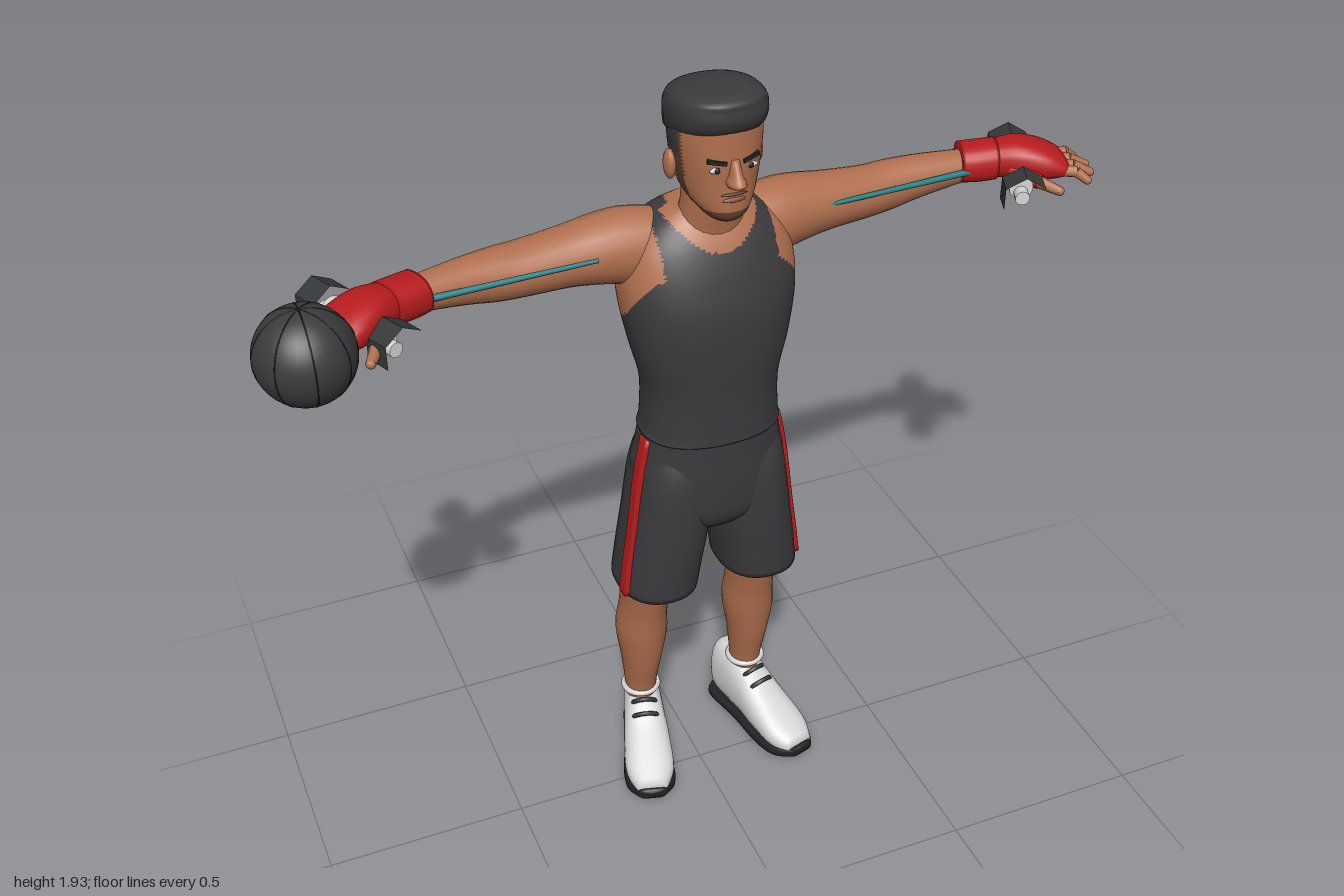
import * as THREE from 'three';

const mat = (name, color) => Object.assign(new THREE.MeshStandardMaterial({ color }), { name });
const CX = 0.035; // body centre line

// value of a smooth curve through key rows, at segment i and fraction f
function sample(keys, i, f) {
  const at = j => keys[Math.max(0, Math.min(keys.length - 1, j))];
  const [a, b, c, d] = [at(i - 1), at(i), at(i + 1), at(i + 2)];
  return b.map((_, k) => b[k] + 0.5 * f * (c[k] - a[k] + f * (2 * a[k] - 5 * b[k] + 4 * c[k] - d[k]
    + f * (3 * (b[k] - c[k]) + d[k] - a[k]))));
}

// Skin through elliptical sections. Each key: [position on axis, centre u, centre v, radius u, radius v]
// (u, v) is (z, x) for axis y, (y, z) for axis x, (x, y) for axis z. paint(x, y, z) picks a material.
function loft(axis, keys, { e = 2, seg = 24, steps = 4, paint = () => 0 } = {}) {
  if (keys[0][0] > keys[keys.length - 1][0]) keys = [...keys].reverse();
  const rows = [];
  for (let i = 0; i < keys.length - 1; i++) {
    for (let s = 0; s < steps; s++) rows.push(sample(keys, i, s / steps));
  }
  rows.push(keys[keys.length - 1]);
  const pos = [];
  const put = (t, u, v) => pos.push(...(axis === 'x' ? [t, u, v] : axis === 'y' ? [v, t, u] : [u, v, t]));
  const pw = c => Math.sign(c) * Math.abs(c) ** (2 / e);
  for (const [t, cu, cv, ru, rv] of rows) {
    for (let j = 0; j < seg; j++) {
      const a = j / seg * Math.PI * 2;
      put(t, cu + ru * pw(Math.cos(a)), cv + rv * pw(Math.sin(a)));
    }
  }
  const n = rows.length, first = n * seg, last = first + 1;
  put(...rows[0]);
  put(...rows[n - 1]);
  const groups = [[], [], []];
  const tri = (...ids) => {
    const c = [0, 1, 2].map(k => ids.reduce((sum, id) => sum + pos[id * 3 + k], 0) / 3);
    groups[paint(...c)].push(...ids);
  };
  for (let j = 0; j < seg; j++) {
    const k = (j + 1) % seg;
    for (let i = 0; i < n - 1; i++) {
      const a = i * seg + j, b = i * seg + k;
      tri(a, b, b + seg);
      tri(a, b + seg, a + seg);
    }
    tri(first, k, j);
    tri(last, (n - 1) * seg + j, (n - 1) * seg + k);
  }
  const geo = new THREE.BufferGeometry();
  geo.setAttribute('position', new THREE.Float32BufferAttribute(pos, 3));
  geo.setIndex(groups.flat());
  let start = 0;
  groups.forEach((g, i) => { if (g.length) geo.addGroup(start, g.length, i); start += g.length; });
  geo.computeVertexNormals();
  return geo;
}

export function createModel() {
  const root = new THREE.Group();
  const skin = mat('skin', 0xb06f4e), cloth = mat('charcoal', 0x3b3b3d), red = mat('red', 0xb81c1e);
  const white = mat('shoe white', 0xd6d6d6), dark = mat('sole black', 0x222224), teal = mat('band teal', 0x237f82);
  const stubble = mat('stubble brown', 0x60402f), iron = mat('iron', 0x35383a), lip = mat('lip', 0x8f5040);

  const add = (name, geo, m, parent = root, p = [0, 0, 0]) => {
    const mesh = new THREE.Mesh(geo, Array.isArray(m) || !geo.groups.length || geo.type !== 'BufferGeometry' ? m : [m]);
    mesh.name = name;
    mesh.position.set(...p);
    parent.add(mesh);
    return mesh;
  };
  const group = (name, p, yaw = 0) => {
    const g = new THREE.Group();
    g.name = name;
    g.position.set(...p);
    g.rotation.y = yaw;
    root.add(g);
    return g;
  };
  const rod = (a, b, r1, r2 = r1) => {
    const va = new THREE.Vector3(...a), d = new THREE.Vector3(...b).sub(va);
    const geo = new THREE.CylinderGeometry(r2, r1, d.length(), 12);
    geo.applyQuaternion(new THREE.Quaternion().setFromUnitVectors(new THREE.Vector3(0, 1, 0), d.clone().normalize()));
    return geo.translate(...va.addScaledVector(d, 0.5).toArray());
  };

  // torso: tank top with scooped neck and armholes
  add('torso', loft('y', [
    [1.07, -0.035, CX, 0.13, 0.17], [1.1, -0.033, CX, 0.128, 0.164], [1.2, -0.032, CX, 0.13, 0.162],
    [1.3, -0.035, CX, 0.138, 0.185], [1.4, -0.046, CX, 0.147, 0.203], [1.48, -0.057, CX, 0.14, 0.205],
    [1.55, -0.065, CX, 0.122, 0.185], [1.6, -0.065, CX, 0.095, 0.14], [1.635, -0.055, CX, 0.06, 0.085],
  ], {
    e: 2.3, seg: 96, steps: 8, paint: (x, y, z) => {
      const dx = Math.abs(x - CX);
      const neck = y > (z > -0.06 ? 1.55 : 1.59) + 6 * dx * dx;
      const armhole = dx > 0.135 && y > 1.375 + 8 * (z + 0.08) ** 2;
      return neck || armhole ? 1 : 0;
    },
  }), [cloth, skin]);
  add('neck', loft('y', [[1.54, -0.045, CX, 0.075, 0.1], [1.6, -0.03, CX, 0.07, 0.08],
    [1.65, -0.015, CX, 0.066, 0.071], [1.72, -0.01, CX, 0.07, 0.07]]), skin);

  // head with cropped hair, faded sides and a stubbled jaw
  add('head', loft('y', [
    [1.645, 0.05, CX, 0.04, 0.032], [1.66, 0.045, CX, 0.058, 0.05], [1.69, 0.014, CX, 0.092, 0.073],
    [1.73, -0.002, CX, 0.108, 0.087], [1.78, -0.004, CX, 0.112, 0.095], [1.83, -0.004, CX, 0.111, 0.099],
    [1.87, -0.006, CX, 0.11, 0.096], [1.9, -0.005, CX, 0.09, 0.08],
  ], {
    e: 2.15, seg: 64, steps: 6, paint: (x, y, z) => {
      if (y > 1.865 || (y > 1.785 && z < 0.025)) return 1;
      if (z < -0.04 && y > 1.705) return 2;
      if (Math.abs(z - 0.015) < 0.02 && y > 1.69) return 2;
      return z > -0.01 && y < 1.675 + Math.max(0, 0.07 - z) * 0.5 ? 2 : 0;
    },
  }), [skin, cloth, stubble]);
  add('hairTop', loft('y', [
    [1.825, -0.035, CX, 0.082, 0.098], [1.85, -0.01, CX, 0.112, 0.104], [1.88, 0.0, CX, 0.119, 0.106],
    [1.905, 0.01, CX, 0.108, 0.1], [1.922, 0.03, CX, 0.085, 0.082], [1.932, 0.04, CX, 0.045, 0.05],
  ], { e: 2.3, seg: 32 }), cloth);
  add('nose', loft('y', [[1.733, 0.108, CX, 0.012, 0.014], [1.745, 0.112, CX, 0.034, 0.021],
    [1.765, 0.106, CX, 0.026, 0.014], [1.795, 0.098, CX, 0.014, 0.011]]), skin);
  add('mouth', new THREE.SphereGeometry(1, 16, 8).scale(0.027, 0.006, 0.006), lip, root, [CX, 1.702, 0.104]);
  add('moustache', new THREE.SphereGeometry(1, 16, 8).scale(0.03, 0.004, 0.005), stubble, root, [CX, 1.715, 0.104]);
  for (const s of [1, -1]) {
    const x = CX + s * 0.038;
    add('ear', new THREE.SphereGeometry(1, 16, 12).scale(0.013, 0.034, 0.022), skin, root, [CX + s * 0.1, 1.752, -0.01]);
    add('eyeWhite', new THREE.SphereGeometry(1, 12, 8).scale(0.017, 0.007, 0.005), white, root, [x, 1.774, 0.099]);
    add('pupil', new THREE.SphereGeometry(1, 12, 8).scale(0.007, 0.007, 0.004), dark, root, [x, 1.774, 0.102]);
    const brow = add('brow', new THREE.BoxGeometry(0.042, 0.009, 0.009), dark, root, [x, 1.792, 0.1]);
    brow.rotation.set(0, s * 0.3, s * 0.16);
  }

  // shorts
  add('shortsHips', loft('y', [[0.8, -0.045, CX, 0.09, 0.1], [0.85, -0.047, CX, 0.125, 0.17],
    [0.95, -0.045, CX, 0.132, 0.187], [1.02, -0.04, CX, 0.128, 0.174], [1.09, -0.035, CX, 0.124, 0.163]],
  { e: 2.3, seg: 40 }), cloth);

  for (const s of [1, -1]) {
    const X = d => CX + s * d;
    add('shortsLeg', loft('y', [[0.615, -0.06, X(0.133), 0.125, 0.1], [0.7, -0.055, X(0.122), 0.128, 0.1],
      [0.8, -0.05, X(0.108), 0.13, 0.099], [0.95, -0.045, X(0.095), 0.125, 0.09], [1.03, -0.04, X(0.085), 0.1, 0.08]],
    { e: 2.3, seg: 32 }), cloth);
    add('sideStripe', loft('y', [[0.618, -0.017, X(0.226), 0.02, 0.01], [0.7, -0.017, X(0.216), 0.02, 0.01],
      [0.8, -0.017, X(0.202), 0.02, 0.01], [0.95, -0.017, X(0.183), 0.02, 0.01], [1.06, -0.017, X(0.162), 0.02, 0.01]],
    { e: 6 }), red);

    // bare lower leg
    add('leg', loft('y', [[0.13, -0.13, X(0.15), 0.045, 0.038], [0.2, -0.132, X(0.15), 0.047, 0.04],
      [0.3, -0.124, X(0.15), 0.066, 0.05], [0.4, -0.12, X(0.149), 0.081, 0.064], [0.48, -0.108, X(0.147), 0.082, 0.058],
      [0.56, -0.095, X(0.145), 0.09, 0.058], [0.66, -0.08, X(0.14), 0.1, 0.07]]), skin);

    // trainer with its toe turned out
    const shoe = group('shoe', [X(0.147), 0, -0.125], s * 0.27);
    add('shoeUpper', loft('z', [[-0.108, 0, 0.1, 0.02, 0.06], [-0.09, 0, 0.107, 0.04, 0.088], [-0.02, 0, 0.108, 0.05, 0.092],
      [0.04, 0, 0.096, 0.055, 0.08], [0.1, 0, 0.074, 0.061, 0.06], [0.18, 0, 0.052, 0.062, 0.039], [0.235, 0, 0.04, 0.038, 0.022]],
    { e: 2.4 }), white, shoe);
    add('shoeSole', loft('z', [[-0.112, 0, 0.018, 0.025, 0.012], [-0.09, 0, 0.013, 0.046, 0.013], [0.02, 0, 0.013, 0.052, 0.013],
      [0.13, 0, 0.014, 0.066, 0.014], [0.2, 0, 0.019, 0.062, 0.016], [0.246, 0, 0.03, 0.032, 0.014]], { e: 4 }), dark, shoe);
    for (const [y, z, r] of [[0.17, 0.045, 0.03], [0.147, 0.075, 0.032]]) {
      const lace = add('lace', new THREE.TorusGeometry(r, 0.006, 6, 16, Math.PI), iron, shoe, [0, y - 0.012, z - 0.01]);
      lace.rotation.x = 0.6;
    }
  }
  // shoe collars
  for (const s of [1, -1]) {
    const collar = add('shoeCollar', new THREE.TorusGeometry(0.044, 0.008, 8, 24), white, root, [CX + s * 0.15, 0.195, -0.13]);
    collar.rotation.x = Math.PI / 2;
  }

  // arms swept slightly back (left) and forward (right)
  add('leftArm', loft('x', [[0.1, 1.535, -0.07, 0.075, 0.07], [0.2, 1.535, -0.085, 0.088, 0.083], [0.27, 1.54, -0.094, 0.08, 0.078],
    [0.35, 1.54, -0.1, 0.068, 0.07], [0.45, 1.537, -0.108, 0.061, 0.062], [0.52, 1.54, -0.113, 0.059, 0.056],
    [0.6, 1.548, -0.112, 0.05, 0.05], [0.74, 1.558, -0.103, 0.034, 0.04]]), skin);
  add('rightArm', loft('x', [[-0.03, 1.535, -0.07, 0.075, 0.07], [-0.13, 1.535, -0.085, 0.088, 0.083], [-0.2, 1.54, -0.086, 0.08, 0.08],
    [-0.28, 1.54, -0.082, 0.068, 0.072], [-0.38, 1.537, -0.075, 0.061, 0.068], [-0.45, 1.54, -0.066, 0.059, 0.06],
    [-0.53, 1.548, -0.05, 0.05, 0.051], [-0.66, 1.558, -0.017, 0.034, 0.042]]), skin);

  // gloved hands
  for (const [s, p, yaw] of [[1, [0.7, 1.57, -0.108], -0.29], [-1, [-0.625, 1.57, -0.02], 0.41]]) {
    const hand = group(s > 0 ? 'leftHand' : 'rightHand', p, yaw);
    const sx = keys => keys.map(([t, ...r]) => [s * t, ...r]);
    add('gloveCuff', loft('x', sx([[0, -0.005, 0, 0.044, 0.053], [0.04, -0.004, 0, 0.046, 0.054], [0.085, 0, 0, 0.046, 0.052]]),
      { e: 2.4 }), red, hand);
    add('glovePalm', loft('x', sx([[0.07, 0, 0, 0.04, 0.044], [0.13, 0.006, 0.005, 0.046, 0.06], [0.19, 0, 0.01, 0.041, 0.068],
      [0.235, -0.008, 0.012, 0.026, 0.064], [0.25, -0.012, 0.012, 0.014, 0.055]]), { e: 2.4 }), red, hand);
    for (let i = 0; i < 4; i++) {
      const z = -0.035 + i * 0.031, tip = 0.29 + (i === 1 || i === 2 ? 0.018 : 0);
      const mid = [s * 0.265, -0.012, z * 1.15], end = [s * tip, -0.03, z * 1.35];
      add('finger', rod([s * 0.22, -0.01, z], mid, 0.014, 0.013), skin, hand);
      add('fingerTip', rod(mid, end, 0.013, 0.01), skin, hand);
      add('fingerEnd', new THREE.SphereGeometry(0.01, 10, 8), skin, hand, end);
    }
    add('thumbBase', rod([s * 0.12, -0.01, 0.04], [s * 0.175, -0.025, 0.085], 0.023, 0.017), red, hand);
    add('thumb', rod([s * 0.17, -0.024, 0.082], [s * 0.215, -0.035, 0.115], 0.015, 0.011), skin, hand);
    add('thumbEnd', new THREE.SphereGeometry(0.011, 10, 8), skin, hand, [s * 0.215, -0.035, 0.115]);
  }

  // hexagonal dumbbells
  for (const [p, yaw] of [[[0.833, 1.535, -0.068], -0.385], [[-0.762, 1.54, 0.02], 0.41]]) {
    const bell = group('dumbbell', p, yaw);
    add('dumbbellHandle', rod([0, -0.012, -0.12], [0, -0.012, 0.12], 0.017), white, bell);
    for (const s of [1, -1]) {
      const head = new THREE.CylinderGeometry(0.053, 0.053, 0.064, 6).toNonIndexed();
      head.computeVertexNormals();
      add('dumbbellHead', head.rotateX(Math.PI / 2), iron, bell, [0, 0, s * 0.118]);
      add('dumbbellCollar', rod([0, 0, s * 0.07], [0, 0, s * 0.09], 0.028), white, bell);
    }
  }

  // ball resting against the right hand
  const ball = group('ball', [-0.895, 1.56, 0.128]);
  add('ballBody', new THREE.SphereGeometry(0.105, 40, 28), cloth, ball);
  for (let i = 0; i < 4; i++) {
    add('ballSeam', new THREE.TorusGeometry(0.1045, 0.0015, 6, 48), dark, ball).rotation.y = i * Math.PI / 4;
  }

  // stretch bands along the arms
  add('leftBand', rod([0.31, 1.562, -0.035], [0.7, 1.56, -0.06], 0.005, 0.008), teal);
  add('rightBand', rod([-0.235, 1.562, 0.002], [-0.64, 1.56, 0.016], 0.005, 0.008), teal);

  return root;
}
